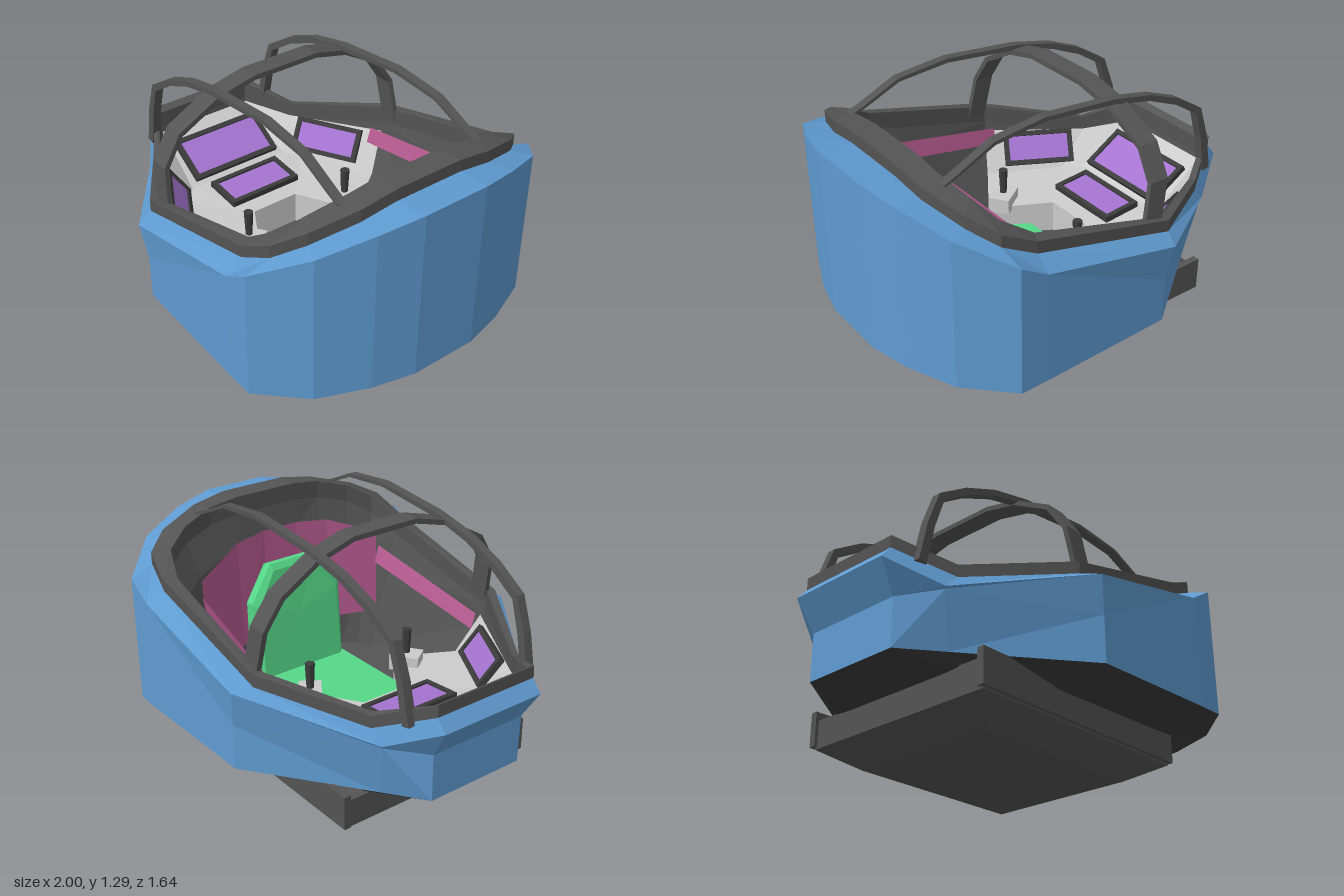
import * as THREE from 'three';

const V = (x, y, z) => new THREE.Vector3(x, y, z);
const mat = (color) => new THREE.MeshStandardMaterial({ color, flatShading: true, side: THREE.DoubleSide });
const BLUE = mat(0x5f9bd1), DARK = mat(0x545454), BLACK = mat(0x3c3c3c), GREY = mat(0xcccccc);
const GREEN = mat(0x55d888), PURPLE = mat(0xa474d0), PINK = mat(0xb85c92);

// Full closed loop from the +z half, mirrored over z
const loop = (half) => [...half, ...half.map(([x, y, z]) => [x, y, -z]).reverse()];
const lift = (pts, dy) => pts.map(([x, y, z]) => [x, y + dy, z]);
const flat = (pts, y) => pts.map(([x, , z]) => [x, y, z]);

// Skin over equal-length cross-sections, optionally capped; diagonals mirror over z
function loft(name, material, rings, { closed = true, capStart = false, capEnd = false } = {}) {
  const pos = [], n = rings[0].length;
  for (let r = 0; r + 1 < rings.length; r++) {
    const a = rings[r], b = rings[r + 1];
    for (let i = 0; i < (closed ? n : n - 1); i++) {
      const j = (i + 1) % n;
      if (a[i][2] + a[j][2] < 0) pos.push(...a[i], ...a[j], ...b[i], ...a[j], ...b[j], ...b[i]);
      else pos.push(...a[i], ...a[j], ...b[j], ...a[i], ...b[j], ...b[i]);
    }
  }
  const cap = (ring, flip) => {
    const c = [0, 1, 2].map((k) => ring.reduce((s, p) => s + p[k], 0) / n);
    ring.forEach((p, i) => {
      const q = ring[(i + 1) % n];
      pos.push(...c, ...(flip ? q : p), ...(flip ? p : q));
    });
  };
  if (capStart) cap(rings[0], true);
  if (capEnd) cap(rings[rings.length - 1], false);
  const g = new THREE.BufferGeometry();
  g.setAttribute('position', new THREE.Float32BufferAttribute(pos, 3));
  g.computeVertexNormals();
  const m = new THREE.Mesh(g, material);
  m.name = name;
  return m;
}

// Flat bar following a path; axis is its width direction, thickness tapers from t0 to t1
function strut(name, path, axis, width, t0, t1) {
  const last = path.length - 1;
  const rings = path.map((p, i) => {
    const t = V(...path[Math.min(i + 1, last)]).sub(V(...path[Math.max(i - 1, 0)]));
    const n = t.cross(axis).normalize();
    const thick = t0 + (t1 - t0) * i / last;
    return [[1, 1], [1, -1], [-1, -1], [-1, 1]].map(([w, h]) =>
      V(...p).addScaledVector(axis, w * width / 2).addScaledVector(n, h * thick / 2).toArray());
  });
  return loft(name, DARK, rings, { capStart: true, capEnd: true });
}

function box(name, material, size, at) {
  const m = new THREE.Mesh(new THREE.BoxGeometry(...size), material);
  m.position.set(...at);
  m.name = name;
  return m;
}

// Framed display lying in the plane of u (length) and v (height)
function display(name, at, u, v, w, h) {
  const g = new THREE.Group();
  const rect = (C, a, b) => new C([[-a, -b], [a, -b], [a, b], [-a, b]].map(([x, y]) => new THREE.Vector2(x / 2, y / 2)));
  const shape = rect(THREE.Shape, w + 0.05, h + 0.05);
  shape.holes.push(rect(THREE.Path, w, h));
  const frame = new THREE.Mesh(new THREE.ExtrudeGeometry(shape, { depth: 0.03, bevelEnabled: false }), BLACK);
  frame.name = name + 'Frame';
  g.add(frame, box(name + 'Glass', PURPLE, [w, h, 0.02], [0, 0, 0.01]));
  const ux = u.clone().normalize();
  const n = ux.clone().cross(v).normalize();
  if (n.y < 0) n.negate();
  g.quaternion.setFromRotationMatrix(new THREE.Matrix4().makeBasis(ux, n.clone().cross(ux), n));
  g.position.set(...at);
  g.name = name;
  return g;
}

export function createModel() {
  const model = new THREE.Group();
  model.name = 'cockpitPod';

  // Hull cross-sections
  const crease = [[-1, .65, .28], [-.775, .54, .434], [-.21, .68, .82], [.51, .84, .82],
    [.65, .925, .82], [.85, 1.035, .62], [.95, 1.105, .38], [1, 1.14, .17]];
  const rimOut = [[-.95, .71, .28], [-.71, .605, .44], [-.25, .70, .73], [.5, .89, .73],
    [.66, .97, .70], [.75, 1.03, .58], [.82, 1.09, .36], [.83, 1.12, .18]];
  const rimIn = [[-.915, .69, .27], [-.69, .61, .415], [-.235, .70, .685], [.47, .89, .67],
    [.61, .98, .62], [.67, 1.05, .5], [.71, 1.10, .33], [.71, 1.12, .17]];
  const mid = crease.map(([x, , z], i) =>
    [[-.91, .5, .26], [-.77, .53, .428], [-.18, .5, .8]][i] || [x, .5, z]);
  const bottom = mid.map(([x, , z], i) => (i === 1 ? [-.72, .267, .4] : [x, .265 + .008 * (x + 1), z]));
  model.add(loft('hull', BLUE, [bottom, mid, crease, rimOut].map(loop)));

  // Raised rim around the opening
  model.add(loft('rim', DARK, [rimOut, lift(rimOut, .06), lift(rimIn, .06), lift(rimIn, -.03)].map(loop)));

  // Inner lining and floor
  const ledge = [[-.905, .6, .265], [-.69, .52, .405], [-.23, .58, .675], [.46, .7, .63],
    [.56, .78, .58], [.62, .85, .46], [.66, .9, .3], [.68, .93, .15]];
  const floor = [[-.62, .24, .2], [-.6, .24, .3], [-.2, .24, .5], [.45, .24, .5],
    [.52, .24, .45], [.57, .24, .38], [.6, .24, .27], [.61, .24, .14]];
  model.add(loft('lining', DARK, [lift(rimIn, -.03), ledge, floor].map(loop), { capEnd: true }));

  // Underside and base
  const keel = [[-.65, .22, .3], [-.62, .22, .4], [-.18, .22, .55], [.3, .23, .55],
    [.52, .235, .55], [.63, .23, .47], [.65, .15, .37], [.66, .13, .19]];
  model.add(loft('underside', BLACK, [bottom, keel].map(loop), { capEnd: true }));
  const rect = (x0, x1, y, z) => loop([[x0, y, z], [x1, y, z]]);
  model.add(loft('base', DARK, [rect(-.65, .63, .23, .53), rect(-.65, .63, .09, .53), rect(-.48, .46, 0, .39)],
    { capEnd: true }));
  for (const s of [1, -1]) model.add(box('baseRail', DARK, [1.31, .17, .035], [-.012, .185, s * .5325]));

  // Dashboard: outer edge, shelf, front drop
  const dashOuter = [[-.22, .63, .665], [-.69, .6, .405], [-.905, .64, .265]];
  const dashInner = [[-.16, .43, .56], [-.52, .44, .36], [-.6, .45, .29]];
  const dashEdge = [[-.1, .41, .46], [.02, .41, .3], [-.27, .42, .13]];
  const dashFoot = flat(dashEdge, .25);
  model.add(loft('dashboard', GREY, [dashOuter, dashInner, dashEdge, dashFoot].map(loop), { closed: false }));

  // Displays
  const Z = V(0, 0, 1);
  model.add(display('frontDisplay', [-.72, .535, 0], Z, V(.18, -.11, 0), .46, .2));
  model.add(display('centreDisplay', [-.45, .445, 0], Z, V(.18, -.015, 0), .36, .16));
  for (const s of [1, -1]) {
    model.add(display('sideDisplay', [-.44, .535, s * .478], V(.33, 0, s * .18), V(.057, -.165, -s * .104), .32, .13));
  }

  // Control sticks
  for (const s of [1, -1]) {
    const stick = new THREE.Group();
    const grip = new THREE.Mesh(new THREE.CylinderGeometry(.024, .018, .13, 8), BLACK);
    grip.position.y = .11;
    grip.name = 'grip';
    stick.add(box('stickBase', GREY, [.15, .08, .11], [0, 0, 0]), grip);
    stick.position.set(-.075, .43, s * .3);
    stick.rotation.y = s * .6;
    stick.name = 'controlStick';
    model.add(stick);
  }

  // Seat
  const cushion = loop([[-.17, .3, .19], [-.03, .3, .27], [.46, .3, .27]]);
  model.add(loft('seatCushion', GREEN, [flat(cushion, .245), cushion], { capEnd: true }));
  const back = (x, w, y0, y1, w2, y2, lean) => loop([[x, y0, w], [x + lean * .6, y1, w], [x + lean, y2, w2]]);
  model.add(loft('seatBack', GREEN, [back(.39, .24, .29, .68, .13, .85, .07), back(.42, .27, .25, .7, .14, .88, .06),
    back(.49, .27, .25, .7, .14, .88, .02), back(.54, .14, .25, .68, .13, .86, .01)], { capStart: true, capEnd: true }));

  // Pink side bands and rear panel, leaning outward
  for (const s of [1, -1]) {
    const band = [[-.24, .58, s * .585], [.46, .73, s * .525]];
    const top = [[-.24, .66, s * .61], [.46, .82, s * .55]];
    model.add(loft('sideBand', PINK, [band, top], { closed: false }));
  }
  const rear = loop([[.45, .45, .53], [.53, .45, .27], [.56, .45, .1]]);
  const rearTop = loop([[.47, .9, .54], [.56, 1, .28], [.585, 1.02, .1]]);
  model.add(loft('rearPanel', PINK, [rear, rearTop], { closed: false }));

  // Canopy frame
  const arch = [[-.85, .65], [-.81, .85], [-.755, 1.01], [-.6, 1.11], [-.42, 1.185], [-.2, 1.235],
    [.2, 1.275], [.47, 1.25], [.66, 1.165], [.73, 1.14]];
  for (const s of [1, -1]) {
    model.add(strut('canopyRail', arch.map(([x, y], i) => [x, y, s * (.35 + .004 * i)]), Z, .045, .045, .01));
  }
  const half = [[-.18, .73, .69], [-.22, .95, .67], [-.23, 1.09, .58], [-.22, 1.21, .37], [-.21, 1.26, .18]];
  model.add(strut('canopyHoop', loop(half), V(1, 0, 0), .1, .025, .025));

  return model;
}
